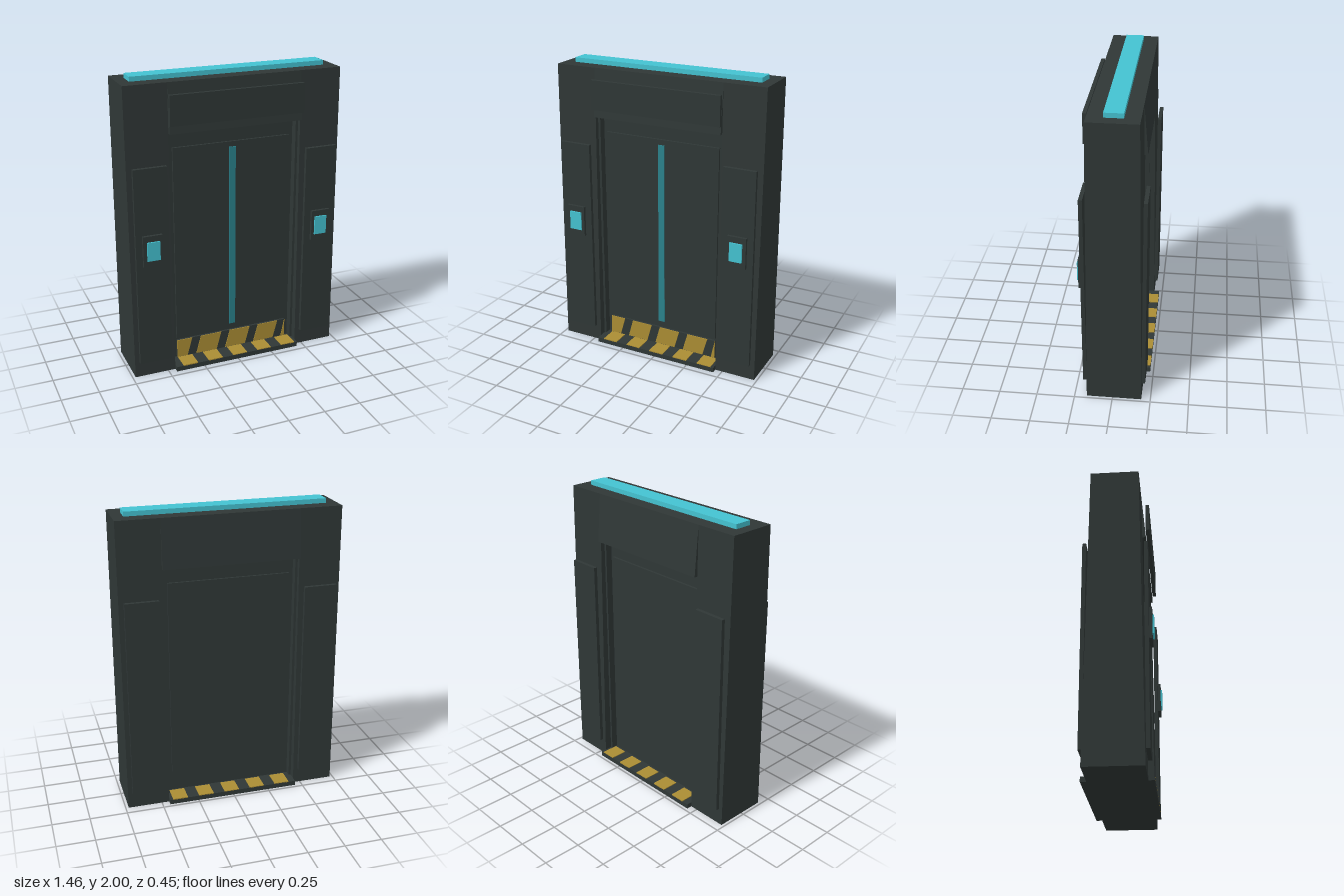
import * as THREE from 'three';

const mat = (name, color) => {
  const m = new THREE.MeshStandardMaterial({ color });
  m.name = name;
  return m;
};

export function createModel() {
  const root = new THREE.Group();
  root.name = 'slidingDoorway';
  const metal = mat('darkMetal', 0x2f3736);
  const yellow = mat('hazardYellow', 0xab8d34);
  const cyan = mat('cyanLight', 0x44c2d1);
  const teal = mat('dimTealLight', 0x2b828c);

  const add = (name, geo, material) => {
    const mesh = new THREE.Mesh(geo, material);
    mesh.name = name;
    root.add(mesh);
    return mesh;
  };
  // box given by its limits on each axis
  const box = (name, material, [x0, x1], [y0, y1], [z0, z1]) => {
    const geo = new THREE.BoxGeometry(x1 - x0, y1 - y0, z1 - z0);
    geo.translate((x0 + x1) / 2, (y0 + y1) / 2, (z0 + z1) / 2);
    return add(name, geo, material);
  };
  const polygon = (pts) => new THREE.Shape(pts.map(([a, b]) => new THREE.Vector2(a, b)));
  // side profile of (z, y) points swept along x
  const sweep = (name, material, x0, x1, pts) => {
    const geo = new THREE.ExtrudeGeometry(polygon(pts), { depth: x1 - x0, bevelEnabled: false });
    geo.rotateY(-Math.PI / 2).translate(x1, 0, 0);
    return add(name, geo, material);
  };

  // posts, side panels, jamb trims and wall controls, mirrored left and right
  const post = [[-0.19, 0], [0.17, 0], [0.145, 1.97], [-0.165, 1.97]];
  for (const [side, s] of [['left', 1], ['right', -1]]) {
    const span = (a, b) => (s > 0 ? [a, b] : [-b, -a]);
    sweep(side + 'Post', metal, ...span(0.45, 0.73), post);
    box(side + 'FrontPanel', metal, span(0.48, 0.7), [0.11, 1.46], [0.172, 0.196]);
    box(side + 'BackPanel', metal, span(0.48, 0.7), [0.11, 1.46], [-0.212, -0.188]);
    box(side + 'JambTrim', metal, span(0.434, 0.45), [0.035, 1.65], [-0.14, 0.12]);
    box(side + 'ControlBox', metal, span(0.527, 0.657), [0.81, 1.02], [0.196, 0.215]);
    box(side + 'ControlScreen', cyan, span(0.547, 0.633), [0.853, 0.98], [0.215, 0.225]);
  }

  // sloped header with its front plate, and the roof light
  sweep('header', metal, -0.45, 0.45, [[-0.192, 1.65], [0.173, 1.65], [0.145, 1.97], [-0.165, 1.97]]);
  box('headerPlate', metal, [-0.453, 0.453], [1.705, 1.9], [0.172, 0.196]);
  box('roofLight', cyan, [-0.657, 0.657], [1.97, 2], [-0.07, 0.047]);

  // recessed door: core slab, a raised leaf on each face and the light strip
  box('doorCore', metal, [-0.45, 0.45], [0.03, 1.65], [-0.095, 0.07]);
  box('frontDoorLeaf', metal, [-0.405, 0.405], [0.18, 1.535], [0.07, 0.085]);
  box('backDoorLeaf', metal, [-0.405, 0.405], [0.18, 1.535], [-0.11, -0.095]);
  box('doorLightStrip', teal, [-0.022, 0.022], [0.22, 1.5], [0.085, 0.092]);

  // kick plate with slanted hazard stripes
  box('kickPlate', metal, [-0.405, 0.405], [0.035, 0.165], [0.07, 0.084]);
  const edge = 0.405, pitch = 0.215, slant = 0.035, gap = 0.065;
  const cap = (x) => Math.min(x, edge);
  for (let i = 0; i < 5; i++) {
    const right = -0.331 + pitch * i;
    const left = right - pitch + gap;
    const pts = [
      [i ? left : -edge, 0.038], [cap(right), 0.038],
      [cap(right + slant), 0.165],
    ];
    if (i < 4) pts.push([i ? left + slant : -edge, 0.165]);
    const geo = new THREE.ExtrudeGeometry(polygon(pts), { depth: 0.005, bevelEnabled: false });
    add('kickStripe', geo.translate(0, 0, 0.084), yellow);
  }

  // threshold with hazard stripes on both sides of the door
  box('threshold', metal, [-0.45, 0.45], [0, 0.033], [-0.228, 0.207]);
  for (let i = 0; i < 5; i++) {
    const x = -0.402 + 0.182 * i;
    box('frontThresholdStripe', yellow, [x, x + 0.103], [0.031, 0.038], [0.09, 0.207]);
    box('backThresholdStripe', yellow, [x, x + 0.103], [0.031, 0.038], [-0.228, -0.11]);
  }
  return root;
}
